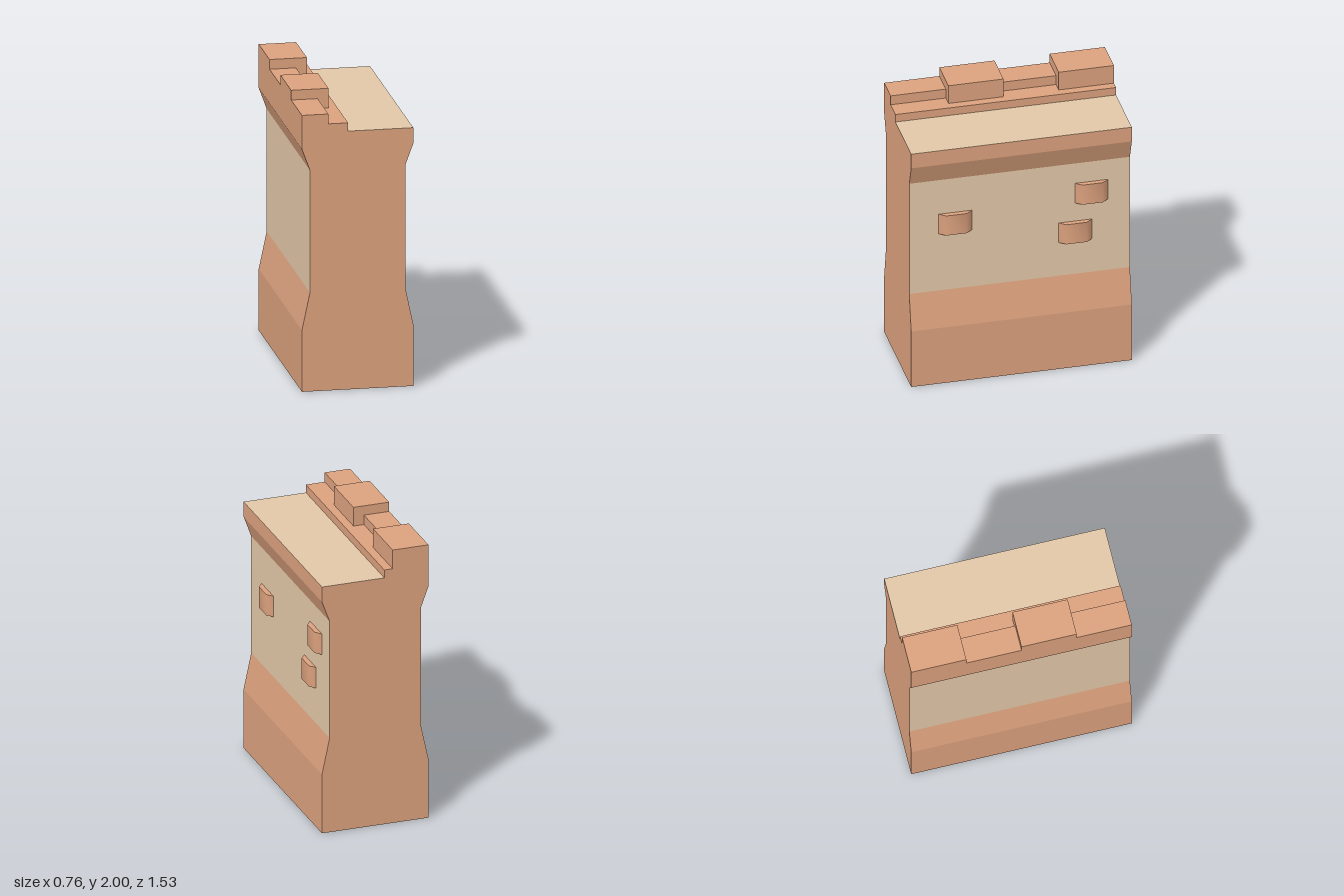
import * as THREE from 'three';
import { toCreasedNormals } from 'three/addons/utils/BufferGeometryUtils.js';

const clay = new THREE.MeshStandardMaterial({ color: 0xdca17d });
clay.name = 'clay';
const sand = new THREE.MeshStandardMaterial({ color: 0xe3c8a8 });
sand.name = 'sand';

const LENGTH = 1.526;
const OUT = 0.381, WAIST = 0.326;
const WAIST_LOW = 0.69, WAIST_HIGH = 1.545, WALK = 1.805, LEDGE = 1.863;

function extrude(points, depth) {
  const shape = new THREE.Shape(points.map(([x, y]) => new THREE.Vector2(x, y)));
  return new THREE.ExtrudeGeometry(shape, { depth, bevelEnabled: false });
}

function add(group, name, geometry, material) {
  const mesh = new THREE.Mesh(geometry, material);
  mesh.name = name;
  group.add(mesh);
  return mesh;
}

// Wall cross-section run along z; waist faces and walkway get the sand material
function wallGeometry() {
  const geo = extrude([
    [-OUT, 0], [OUT, 0], [OUT, 0.43], [WAIST, WAIST_LOW], [WAIST, WAIST_HIGH],
    [OUT, 1.695], [OUT, WALK], [-0.065, WALK], [-0.065, LEDGE], [-OUT, LEDGE],
    [-OUT, 1.695], [-WAIST, WAIST_HIGH], [-WAIST, WAIST_LOW], [-OUT, 0.43],
  ], LENGTH).translate(0, 0, -LENGTH / 2);
  const pos = geo.attributes.position;
  const near = (a, b) => Math.abs(a - b) < 1e-4;
  geo.clearGroups();
  for (let i = 0; i < pos.count; i += 3) {
    const corners = [i, i + 1, i + 2];
    const waist = corners.every((k) => near(pos.getX(k), WAIST))
      || corners.every((k) => near(pos.getX(k), -WAIST));
    const walkway = corners.every((k) => near(pos.getY(k), WALK));
    geo.addGroup(i, 3, waist || walkway ? 1 : 0);
  }
  return geo;
}

// Raised brick: chamfered at both ends, softly shaded across the chamfers
function brickGeometry() {
  const w = 0.115, c = 0.045, d = 0.036;
  const geo = extrude([[-w, -0.01], [w, -0.01], [w, 0], [w - c, d], [c - w, d], [-w, 0]], 0.152);
  geo.translate(0, 0, -0.076);
  // stand the extrusion upright, with the chamfered face towards +x
  geo.applyMatrix4(new THREE.Matrix4().makeBasis(
    new THREE.Vector3(0, 0, 1), new THREE.Vector3(1, 0, 0), new THREE.Vector3(0, 1, 0)));
  return toCreasedNormals(geo, 0.9);
}

export function createModel() {
  const model = new THREE.Group();
  model.name = 'castleWall';

  add(model, 'wall', wallGeometry(), [clay, sand]);

  // Parapet: alternating tall merlons and low crenels
  const step = LENGTH / 4;
  for (let i = 0; i < 4; i++) {
    const tall = i % 2 === 0;
    const width = tall ? 0.256 : 0.181;
    const height = (tall ? 2 : 1.932) - LEDGE;
    add(model, tall ? 'merlon' : 'crenel', new THREE.BoxGeometry(width, height, step), clay)
      .position.set(-OUT + width / 2, LEDGE + height / 2, -LENGTH / 2 + step * (i + 0.5));
  }

  // Loose bricks on the left face
  const brick = brickGeometry();
  for (const [y, z] of [[1.205, 0.445], [1.315, -0.497], [1.023, -0.386]]) {
    add(model, 'brick', brick, clay).position.set(WAIST, y, z);
  }
  return model;
}
